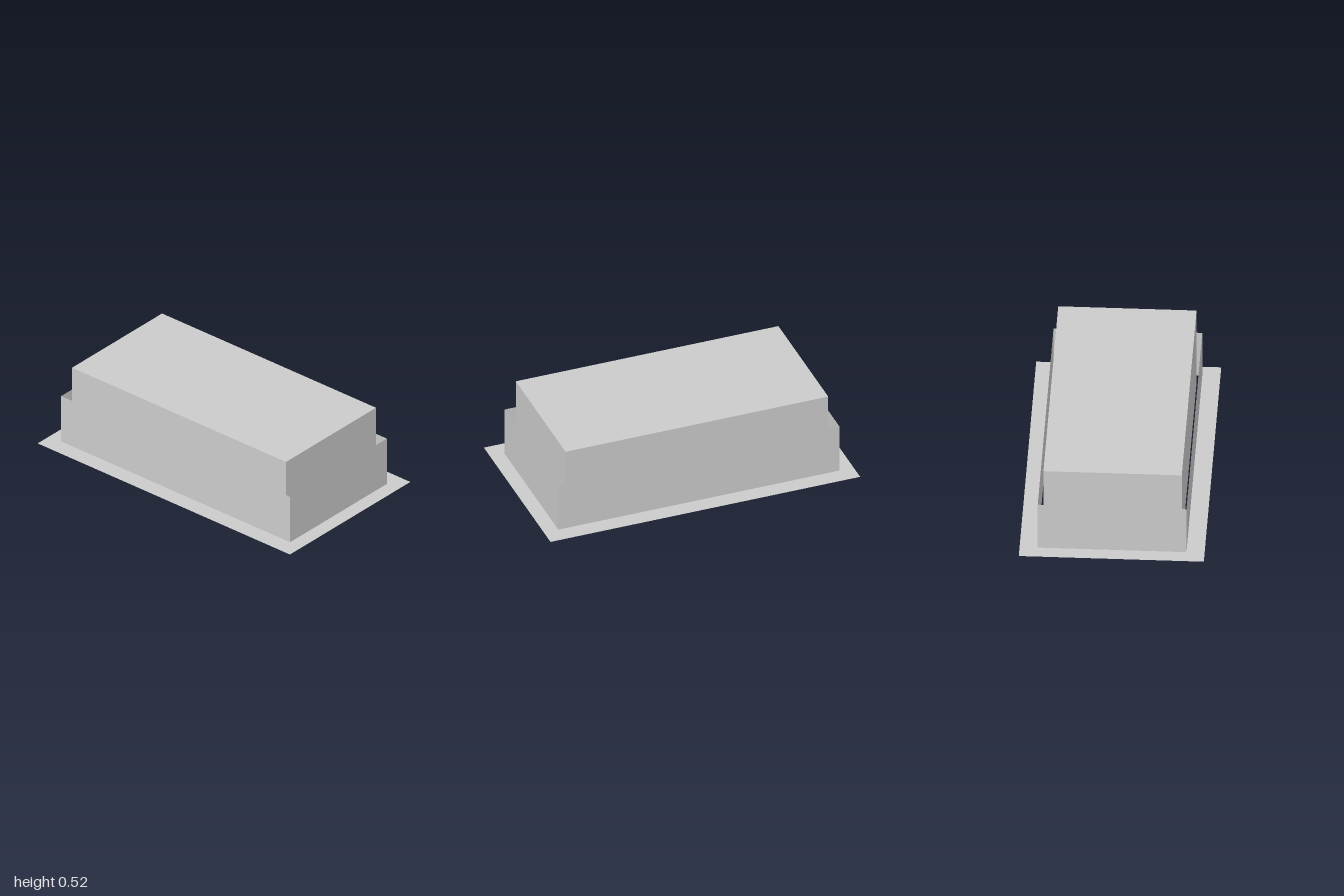
import * as THREE from 'three';

const BASE_Y = 0.015;                 // level of the flange and the wall foot
const WALL = { w: 0.872, d: 1.763, h: 0.31 };

const material = new THREE.MeshStandardMaterial({
  color: 0xcccccc, flatShading: true, side: THREE.DoubleSide,
});

function add(parent, name, geometry, x = 0, y = 0, z = 0) {
  const mesh = new THREE.Mesh(geometry, material);
  mesh.name = name;
  mesh.position.set(x, y, z);
  parent.add(mesh);
  return mesh;
}

// Corner points of a centred rectangle
function rectangle(w, d) {
  return [[-1, -1], [1, -1], [1, 1], [-1, 1]].map(
    ([sx, sy]) => new THREE.Vector2(sx * w / 2, sy * d / 2));
}

export function createModel() {
  const model = new THREE.Group();
  model.name = 'steppedBlock';

  // The whole block sits slightly turned on its footprint
  const body = new THREE.Group();
  body.name = 'body';
  body.rotation.y = 0.0525;
  model.add(body);

  // Flat sheet flange with a rectangular opening
  const sheet = new THREE.Shape(rectangle(1.085, 1.943));
  sheet.holes.push(new THREE.Path(rectangle(WALL.w, WALL.d).reverse()));
  add(body, 'flange', new THREE.ShapeGeometry(sheet).rotateX(-Math.PI / 2), 0, BASE_Y, 0);

  // Thin outer wall, open at top and bottom
  const outerWall = new THREE.Group();
  outerWall.name = 'outerWall';
  body.add(outerWall);
  for (let i = 0; i < 4; i++) {
    const endWall = i % 2 === 0;
    const length = endWall ? WALL.w : WALL.d;
    const offset = (endWall ? WALL.d : WALL.w) / 2;
    const panel = new THREE.PlaneGeometry(length, WALL.h)
      .translate(0, WALL.h / 2, offset)
      .rotateY(i * Math.PI / 2);
    add(outerWall, 'wallPanel', panel, 0, BASE_Y, 0);
  }

  // Closed inner block rising above the wall
  const bottom = 0.002, top = 0.527;
  add(body, 'innerBlock', new THREE.BoxGeometry(0.811, top - bottom, 1.648),
    0, (bottom + top) / 2, 0);

  return model;
}
